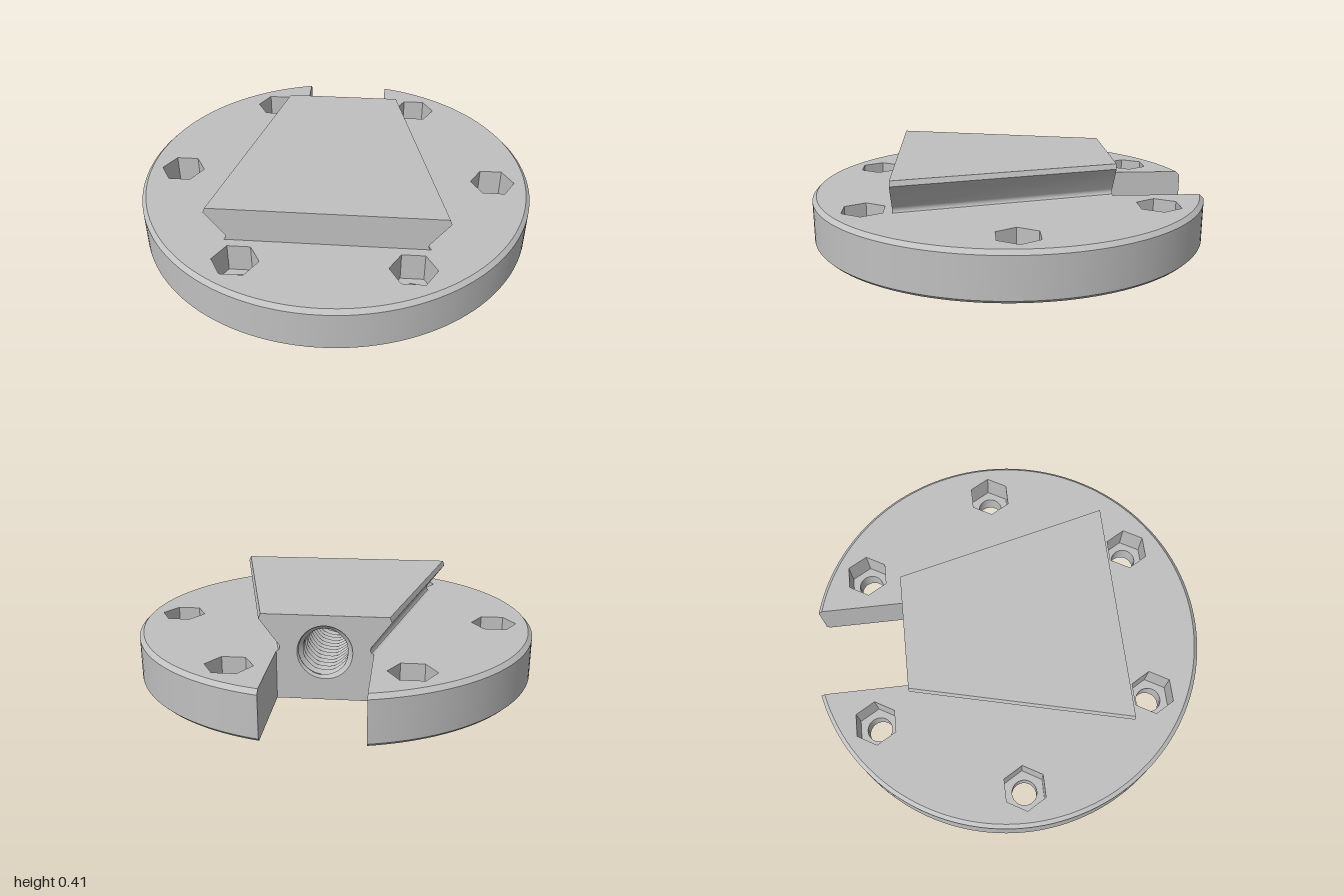
import * as THREE from 'three';
import { toCreasedNormals } from 'three/addons/utils/BufferGeometryUtils.js';

const SLOT = 0.227, BACK = 0.525, FRONT = -0.55, FLARE = 0.265; // plan coordinates: (x, -z)
const CENTRE = 0.013, TOP = 0.235, POCKET_FLOOR = 0.09;
const BORE_R = 0.13, BORE_Y = 0.235, BORE_DEPTH = 0.6, PITCH = 0.045;

// Regular polygon in plan, counterclockwise
function ringPoints(x, v, r, n) {
  return Array.from({ length: n }, (_, i) => {
    const a = (i / n) * Math.PI * 2;
    return new THREE.Vector2(x + r * Math.cos(a), v + r * Math.sin(a));
  });
}

const atHeight = (pts, y) => pts.map(p => new THREE.Vector3(p.x, y, -p.y));

// Skin between successive rings of equal length
function loft(rings, closed) {
  const pos = [], index = [], n = rings[0].length;
  rings.forEach(r => r.forEach(p => pos.push(p.x, p.y, p.z)));
  for (let i = 0; i < rings.length - 1; i++) {
    for (let j = 0; j < (closed ? n : n - 1); j++) {
      const k = (j + 1) % n, a = i * n + j, b = i * n + k;
      index.push(a, b, b + n, a, b + n, a + n);
    }
  }
  const g = new THREE.BufferGeometry();
  g.setAttribute('position', new THREE.Float32BufferAttribute(pos, 3));
  g.setIndex(index);
  return toCreasedNormals(g, 0.5);
}

function flatShape(pts, holes = []) {
  const shape = new THREE.Shape(pts);
  holes.forEach(h => shape.holes.push(new THREE.Path(h)));
  return new THREE.ShapeGeometry(shape);
}

// Horizontal face at height y, looking up or down
function cap(pts, holes, y, down = false) {
  const g = flatShape(pts, holes).rotateX(-Math.PI / 2).translate(0, y, 0);
  if (down) {
    g.setIndex(Array.from(g.index.array).reverse());
    g.computeVertexNormals();
  }
  return g;
}

// Disc rim with the open slot at the back
function slottedOutline(r) {
  const start = Math.PI - Math.acos(SLOT / r), sweep = Math.PI + 2 * Math.acos(SLOT / r);
  const pts = [new THREE.Vector2(-SLOT, BACK)];
  for (let i = 0; i <= 128; i++) {
    const a = start + (sweep * i) / 128;
    pts.push(new THREE.Vector2(r * Math.cos(a), CENTRE + r * Math.sin(a)));
  }
  pts.push(new THREE.Vector2(SLOT, BACK));
  return pts;
}

// Tapered wedge outline, open along the back
function wedgeOutline(w) {
  return [[-w, BACK], [-w - FLARE, FRONT], [w + FLARE, FRONT], [w, BACK]]
    .map(([x, v]) => new THREE.Vector2(x, v));
}

export function createModel() {
  const model = new THREE.Group();
  const grey = new THREE.MeshStandardMaterial({ color: 0xc0c0c0 });
  grey.name = 'grey metal';
  const add = (parent, name, geometry) => {
    const m = new THREE.Mesh(geometry, grey);
    m.name = name;
    parent.add(m);
  };
  const group = name => {
    const g = new THREE.Group();
    g.name = name;
    model.add(g);
    return g;
  };

  // Six bolt positions around the disc
  const bolts = Array.from({ length: 6 }, (_, i) => {
    const a = (i * Math.PI) / 3;
    return [0.813 * Math.cos(a), CENTRE + 0.813 * Math.sin(a)];
  });
  const rounds = bolts.map(([x, v]) => ringPoints(x, v, 0.063, 32));
  const hexes = bolts.map(([x, v]) => ringPoints(x, v, 0.1115, 6));

  // Base disc with chamfered rim
  const base = group('baseDisc');
  const rim = [[0.985, 0], [1, 0.015], [1, 0.215], [0.98, TOP]];
  add(base, 'rim', loft(rim.map(([r, y]) => atHeight(slottedOutline(r), y)), false));
  add(base, 'underside', cap(slottedOutline(0.985), rounds, 0, true));
  const foot = wedgeOutline(SLOT);
  add(base, 'upperFace', cap([...slottedOutline(0.98), foot[2], foot[1]], hexes, TOP));

  // Hexagonal nut pockets over round through holes
  const holes = group('boltHoles');
  bolts.forEach((_, i) => {
    add(holes, 'nutPocket', loft([atHeight(hexes[i], TOP), atHeight(hexes[i], POCKET_FLOOR)], true));
    add(holes, 'pocketFloor', cap(hexes[i], [rounds[i]], POCKET_FLOOR));
    add(holes, 'throughHole', loft([atHeight(rounds[i], POCKET_FLOOR), atHeight(rounds[i], 0)], true));
  });

  // Dovetail wedge: half width at the back, height
  const dovetail = group('dovetail');
  const profile = [[SLOT, TOP], [0.217, 0.239], [0.212, 0.247], [0.211, 0.256],
    [0.214, 0.266], [0.307, 0.39], [0.297, 0.415]];
  add(dovetail, 'wedgeSides', loft(profile.map(([w, y]) => atHeight(wedgeOutline(w), y)), false));
  add(dovetail, 'wedgeTop', cap(wedgeOutline(0.297), [], 0.415));

  // Back wall shared by the wedge and the slot, pierced by the bore
  const half = [[SLOT, 0], ...profile];
  const wall = [...half, ...half.map(([w, y]) => [-w, y]).reverse()]
    .map(([x, y]) => new THREE.Vector2(x, y));
  add(dovetail, 'backWall', flatShape(wall, [ringPoints(0, BORE_Y, BORE_R, 48)])
    .rotateY(Math.PI).translate(0, 0, -BACK));

  // Threaded bore: radius follows a helical ridge, fading in at the mouth
  const rings = [], rows = Math.round((BORE_DEPTH / PITCH) * 8);
  for (let i = 0; i <= rows; i++) {
    const d = (BORE_DEPTH * i) / rows;
    const fade = Math.min(1, d / 0.02);
    rings.push(Array.from({ length: 48 }, (_, j) => {
      const t = d / PITCH + j / 48;
      const ridge = Math.abs(2 * (t - Math.floor(t)) - 1);
      const r = BORE_R - 0.025 * ridge * fade;
      const a = (j / 48) * Math.PI * 2;
      return new THREE.Vector3(r * Math.cos(a), BORE_Y + r * Math.sin(a), d - BACK);
    }));
  }
  add(dovetail, 'threadedBore', loft(rings.reverse(), true));
  add(dovetail, 'boreEnd', new THREE.CircleGeometry(BORE_R, 48)
    .rotateY(Math.PI).translate(0, BORE_Y, BORE_DEPTH - BACK));

  return model;
}
